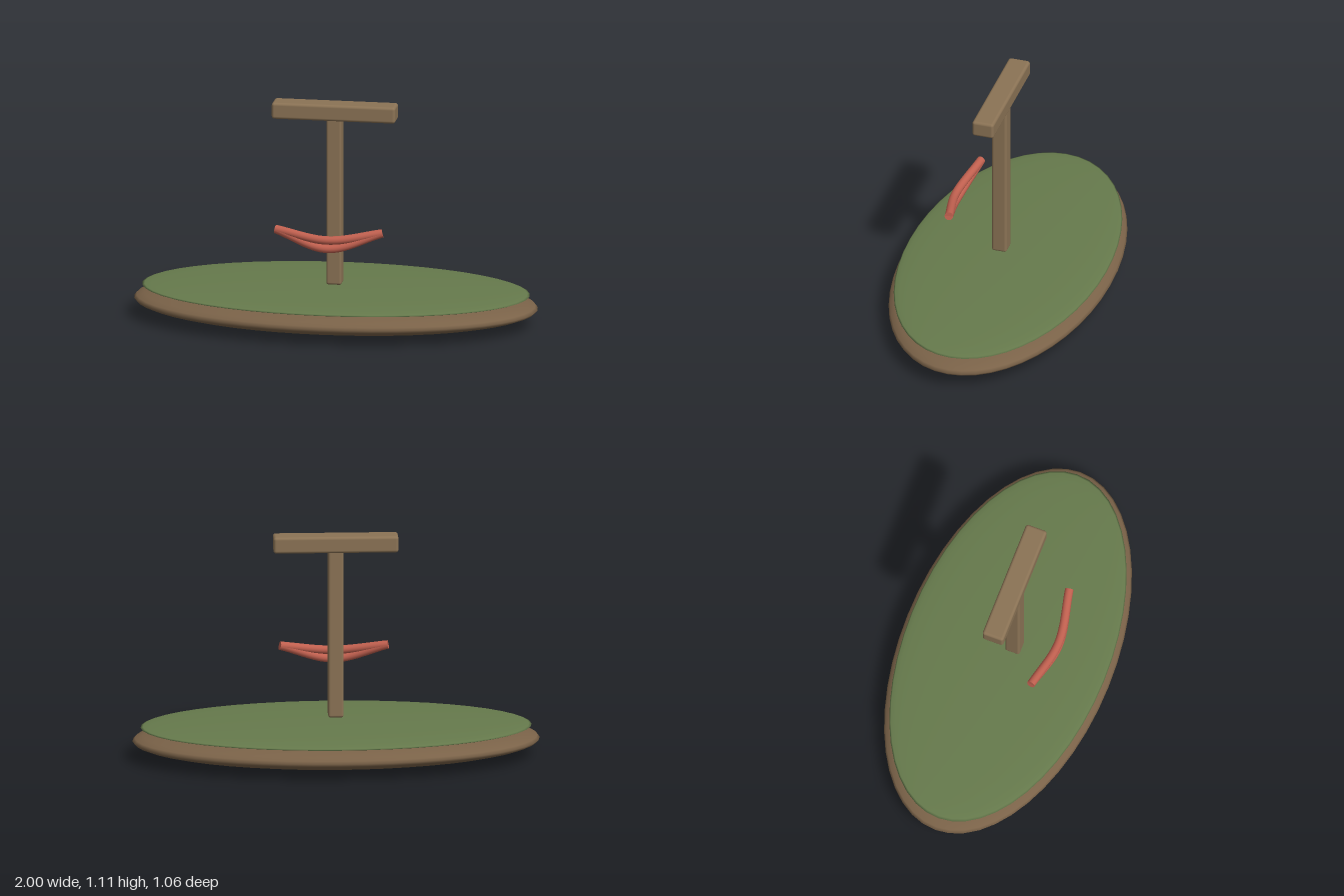
import * as THREE from 'three';
import { RoundedBoxGeometry } from 'three/addons/geometries/RoundedBoxGeometry.js';

const paint = (color) => new THREE.MeshStandardMaterial({ color });

export function createModel() {
  const model = new THREE.Group();
  const earth = paint(0x7a6248), grass = paint(0x667a4c);
  const wood = paint(0x8b7355), red = paint(0xc0604f);

  const add = (name, geometry, material, x, y, z, parent = model) => {
    const mesh = new THREE.Mesh(geometry, material);
    mesh.name = name;
    mesh.position.set(x, y, z);
    parent.add(mesh);
    return mesh;
  };

  // Flattened oval base with a thinner grass disc on top
  const oval = new THREE.SphereGeometry(1, 48, 20);
  add('base', oval, earth, 0, 0.088, 0).scale.set(1, 0.088, 0.528);
  add('grassTop', oval, grass, 0, 0.155, 0).scale.set(0.96, 0.026, 0.505);

  // Floating post and crossbar
  add('post', new RoundedBoxGeometry(0.076, 0.855, 0.076, 3, 0.012), wood, 0, 0.622, 0.035);
  add('crossbar', new RoundedBoxGeometry(0.614, 0.082, 0.11, 3, 0.014), wood, 0, 1.07, 0.035);

  // Smile: two curved tubes that meet at the corners
  const smile = new THREE.Group();
  smile.name = 'smile';
  model.add(smile);
  const radius = 0.021;
  for (const [name, y] of [['upperLip', 0.473], ['lowerLip', 0.43]]) {
    const curve = new THREE.CatmullRomCurve3([
      new THREE.Vector3(-0.265, 0.508, 0.221),
      new THREE.Vector3(0, y, 0.266),
      new THREE.Vector3(0.265, 0.508, 0.221),
    ]);
    add(name, new THREE.TubeGeometry(curve, 32, radius, 16), red, 0, 0, 0, smile);
    // Flat end caps facing outward
    for (const t of [0, 1]) {
      const p = curve.getPointAt(t);
      const out = curve.getTangentAt(t).multiplyScalar(t ? 1 : -1);
      const cap = add(name + 'Cap', new THREE.CircleGeometry(radius, 16), red, p.x, p.y, p.z, smile);
      cap.quaternion.setFromUnitVectors(new THREE.Vector3(0, 0, 1), out);
    }
  }
  return model;
}
